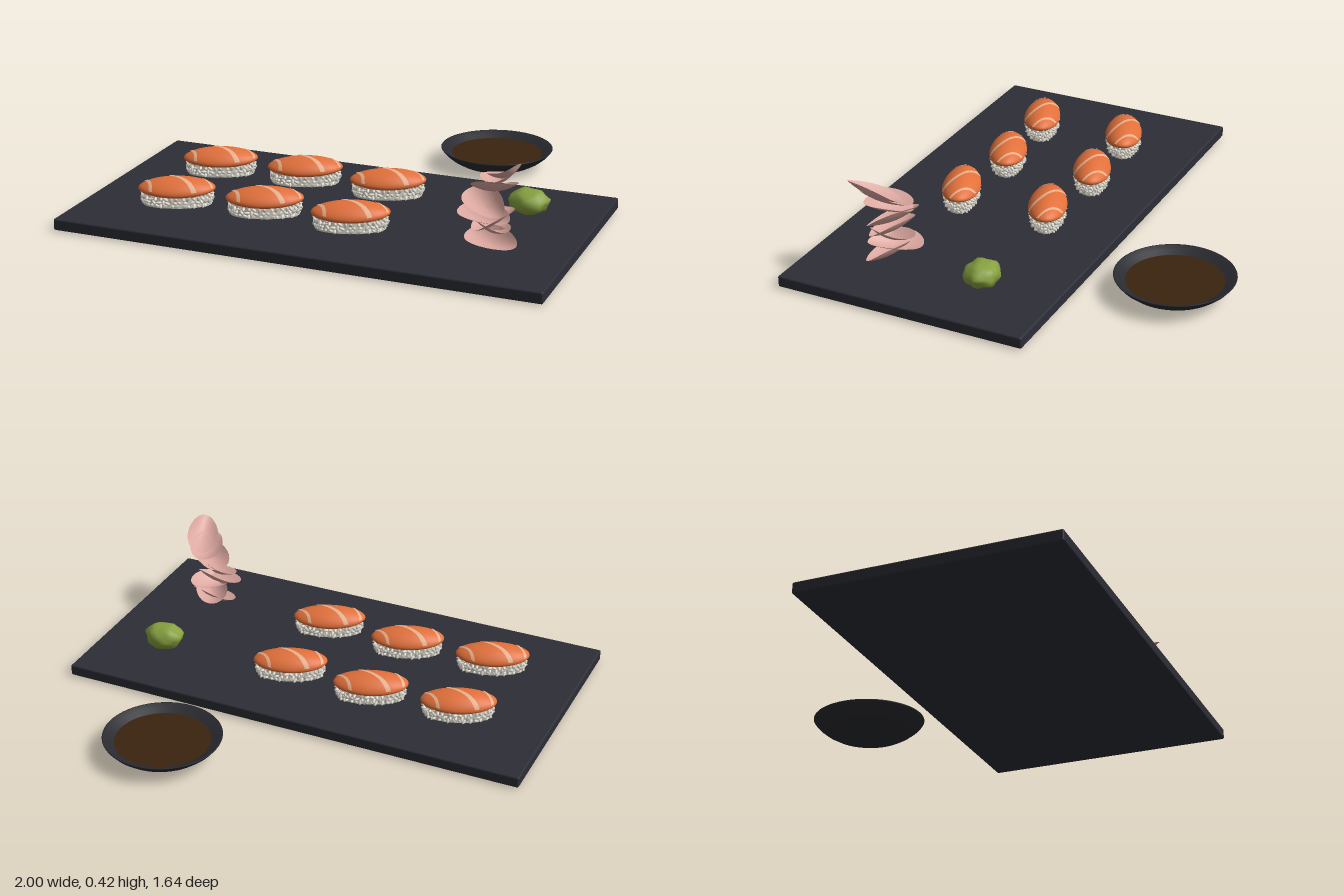
import * as THREE from 'three';
import { mergeGeometries, mergeVertices } from 'three/addons/utils/BufferGeometryUtils.js';
import { RoundedBoxGeometry } from 'three/addons/geometries/RoundedBoxGeometry.js';

const mat = (name, color) => {
  const m = new THREE.MeshStandardMaterial({ color });
  m.name = name;
  return m;
};

function seeded(seed) {
  return () => {
    seed = (seed * 16807) % 2147483647;
    return seed / 2147483647;
  };
}

// Salmon slice half sizes: length, thickness, width
const FL = 0.155, FH = 0.035, FW = 0.08;
const droop = (x, z) => 0.01 * (x / FL) ** 2 + 0.02 * (z / FW) ** 2;

function salmonGeometry() {
  const g = new THREE.SphereGeometry(1, 40, 24);
  g.scale(FL, FH, FW);
  const p = g.attributes.position;
  for (let i = 0; i < p.count; i++) p.setY(i, p.getY(i) - droop(p.getX(i), p.getZ(i)));
  g.computeVertexNormals();
  return g;
}

// Pale band that follows the upper face of the salmon
function stripeGeometry(centre, slope, width) {
  const g = new THREE.PlaneGeometry(1, 1, 3, 28);
  g.rotateX(-Math.PI / 2);
  const p = g.attributes.position;
  for (let i = 0; i < p.count; i++) {
    let z = p.getZ(i) * 2 * FW;
    let x = centre + slope * z + 0.006 * Math.sin(z * 50) + p.getX(i) * width;
    const r = Math.hypot(x / FL, z / FW);
    const k = Math.min(1, 0.985 / r);
    x *= k;
    z *= k;
    const h = FH * Math.sqrt(1 - Math.min(r, 0.985) ** 2);
    p.setXYZ(i, x * 1.012, h - droop(x, z) + 0.0018, z * 1.012);
  }
  g.computeVertexNormals();
  return g;
}

// Oval block of rice covered in separate grains
function riceGeometry() {
  const rnd = seeded(77);
  const core = new THREE.CylinderGeometry(1, 1, 0.05, 32);
  core.scale(0.137, 1, 0.064);
  core.translate(0, 0.078, 0);
  const parts = [core];
  const e = new THREE.Euler(), q = new THREE.Quaternion();
  const rows = 4, count = 38;
  for (let row = 0; row < rows; row++) {
    const inset = row === 0 || row === rows - 1 ? 0.97 : 1.02;
    for (let i = 0; i < count; i++) {
      const a = ((i + row * 0.5 + rnd() * 0.5) / count) * Math.PI * 2;
      const grain = new THREE.SphereGeometry(1, 6, 4);
      q.setFromEuler(e.set(rnd() * 3, rnd() * 6, rnd() * 3));
      grain.applyMatrix4(new THREE.Matrix4().compose(
        new THREE.Vector3(Math.cos(a) * 0.138 * inset, 0.059 + row * 0.0145 + rnd() * 0.004, Math.sin(a) * 0.066 * inset),
        q,
        new THREE.Vector3(0.014, 0.0065, 0.0065)));
      parts.push(grain);
    }
  }
  return mergeGeometries(parts);
}

// Thin cupped slice, long in z and narrowing to its ends
function petalGeometry() {
  const g = new THREE.CircleGeometry(1, 28);
  const ring = new THREE.RingGeometry(0.001, 1, 28, 6);
  g.dispose();
  ring.rotateX(-Math.PI / 2);
  const p = ring.attributes.position;
  for (let i = 0; i < p.count; i++) {
    const x = p.getX(i), z = p.getZ(i);
    const y = 0.035 * x * x + 0.022 * z * z + 0.006 * x * z;
    p.setXYZ(i, x * 0.066 * (1 - 0.2 * z), y, z * 0.112);
  }
  ring.computeVertexNormals();
  return ring;
}

function wasabiGeometry() {
  let g = new THREE.IcosahedronGeometry(1, 3);
  g.deleteAttribute('normal');
  g.deleteAttribute('uv');
  g = mergeVertices(g, 1e-4);
  const rnd = seeded(31);
  const p = g.attributes.position;
  const v = new THREE.Vector3();
  for (let i = 0; i < p.count; i++) {
    v.fromBufferAttribute(p, i);
    const lump = 0.06 * Math.sin(v.x * 7 + 1) * Math.sin(v.y * 6) + 0.05 * Math.sin(v.z * 8 + v.x * 3);
    v.multiplyScalar(0.96 + lump + (rnd() - 0.5) * 0.07);
    p.setXYZ(i, v.x * 0.084, v.y * 0.053, v.z * 0.073);
  }
  g.computeVertexNormals();
  return g;
}

export function createModel() {
  const model = new THREE.Group();
  model.name = 'sushiSet';

  const slate = mat('slate', 0x2c2d36);
  const glaze = mat('darkGlaze', 0x2a2b31);
  const soy = mat('soySauce', 0x3a2410);
  const salmon = mat('salmon', 0xe2703a);
  const fat = mat('salmonFat', 0xe8b08c);
  const rice = mat('rice', 0xe8e4d8);
  const green = mat('wasabiGreen', 0x86a03f);
  const pink = mat('gingerPink', 0xdca8a0);
  pink.side = THREE.DoubleSide;

  const add = (parent, name, geometry, material, x = 0, y = 0, z = 0) => {
    const m = new THREE.Mesh(geometry, material);
    m.name = name;
    m.position.set(x, y, z);
    parent.add(m);
    return m;
  };

  // Serving board
  add(model, 'board', new RoundedBoxGeometry(2, 0.047, 1.06, 2, 0.007), slate, 0, 0.0275, 0.29);

  // Sauce dish
  const dish = new THREE.Group();
  dish.name = 'sauceDish';
  dish.position.set(0.37, 0, -0.585);
  model.add(dish);
  const profile = [
    [0, 0], [0.1, 0], [0.125, 0.004], [0.16, 0.016], [0.195, 0.036], [0.222, 0.058], [0.238, 0.077],
    [0.24, 0.081], [0.236, 0.081], [0.215, 0.07], [0.19, 0.056], [0.15, 0.035], [0.1, 0.02], [0, 0.018],
  ].map(([r, y]) => new THREE.Vector2(r, y));
  add(dish, 'dishBowl', new THREE.LatheGeometry(profile, 56), glaze);
  const sauce = new THREE.CircleGeometry(0.194, 56);
  sauce.rotateX(-Math.PI / 2);
  add(dish, 'sauceSurface', sauce, soy, 0, 0.058, 0);

  // Two rows of three nigiri
  const salmonGeo = salmonGeometry();
  const riceGeo = riceGeometry();
  const stripeGeo = mergeGeometries([
    stripeGeometry(0, 1.1, 0.024),
    stripeGeometry(-0.118, 0.3, 0.013),
    stripeGeometry(0.12, 0.6, 0.013),
  ]);
  for (const rowZ of [0.085, 0.485]) {
    [-0.625, -0.25, 0.125].forEach((x, i) => {
      const nigiri = new THREE.Group();
      nigiri.name = 'nigiri';
      nigiri.position.set(x, 0, rowZ - (i === 1 ? 0.023 : 0));
      nigiri.rotation.y = 0.37;
      model.add(nigiri);
      add(nigiri, 'riceBlock', riceGeo, rice);
      add(nigiri, 'salmonSlice', salmonGeo, salmon, 0, 0.131, 0);
      add(nigiri, 'salmonStripes', stripeGeo, fat, 0, 0.131, 0);
    });
  }

  // Wasabi lump
  add(model, 'wasabi', wasabiGeometry(), green, 0.715, 0.102, 0.07);

  // Loose pile of ginger slices: x, y, z, yaw, pitch, roll
  const ginger = new THREE.Group();
  ginger.name = 'gingerPile';
  model.add(ginger);
  const petal = petalGeometry();
  [
    [0.70, 0.075, 0.49, 1.3, 0.05, 0.35],
    [0.69, 0.115, 0.47, 0.7, -0.1, -0.2],
    [0.70, 0.15, 0.48, -0.3, 0.15, 0.2],
    [0.67, 0.17, 0.49, 1.3, 0.05, 0.3],
    [0.67, 0.215, 0.48, 0.9, 0.2, 0.4],
    [0.71, 0.285, 0.49, 1.1, -0.3, -0.25],
    [0.72, 0.32, 0.49, 0.2, -0.15, 0.15],
    [0.76, 0.355, 0.52, 0.3, -0.35, 0.3],
  ].forEach(([x, y, z, yaw, pitch, roll]) => {
    add(ginger, 'gingerSlice', petal, pink, x, y, z).rotation.set(pitch, yaw, roll, 'YXZ');
  });

  return model;
}
